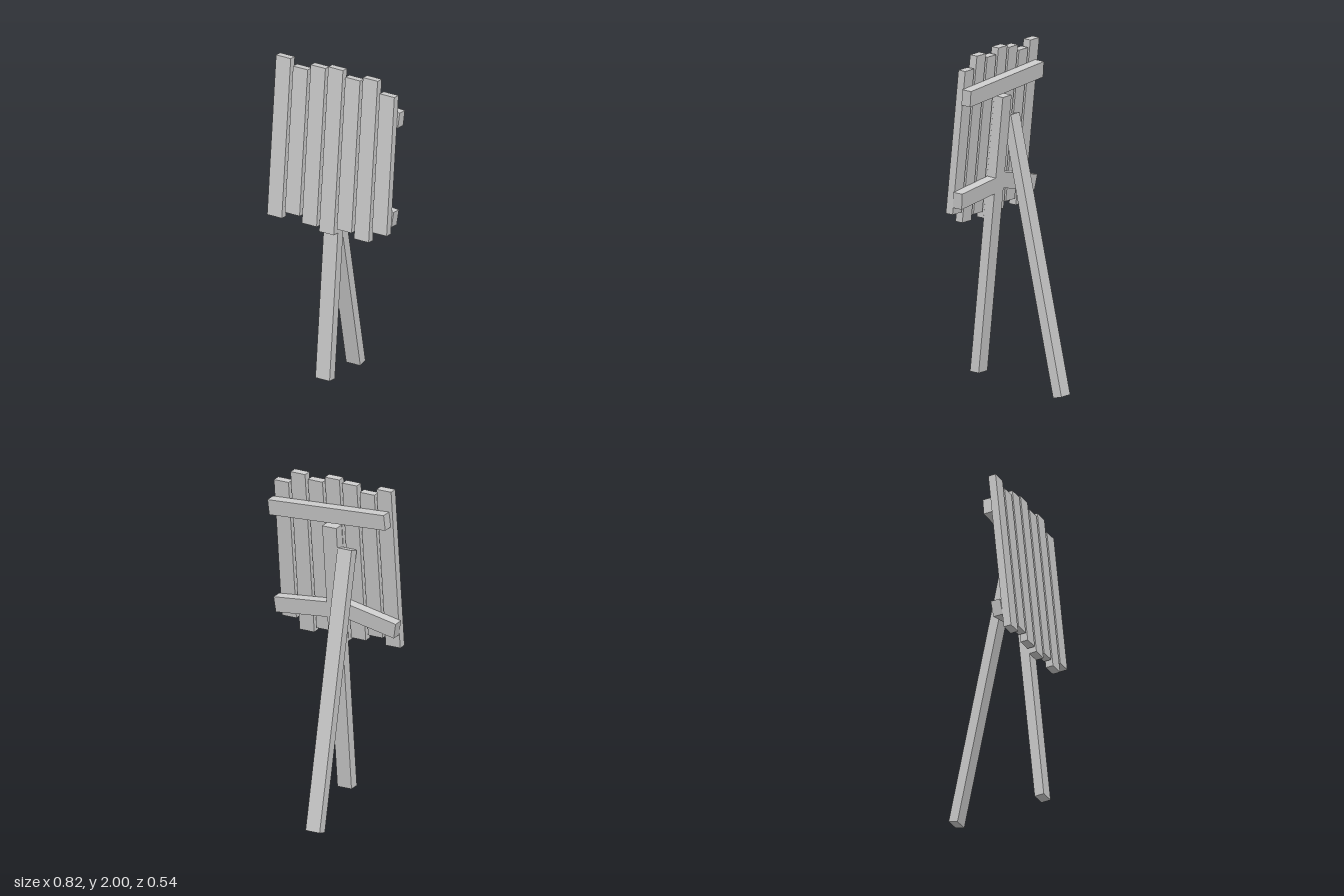
import * as THREE from 'three';

const material = new THREE.MeshStandardMaterial({ color: 0xcccccc, flatShading: true });

// A timber board centred on a point and rolled about z
function board(name, size, position, roll = 0) {
  const mesh = new THREE.Mesh(new THREE.BoxGeometry(...size), material);
  mesh.name = name;
  mesh.position.set(...position);
  mesh.rotation.z = roll;
  return mesh;
}

export function createModel() {
  const model = new THREE.Group();
  model.name = 'woodenSign';

  // Leaning panel: origin at the foot of the post, z = 0 where planks meet the frame
  const lean = 0.1, footY = 0.123, footZ = 0.272;
  const plankDepth = 0.045, frameDepth = 0.057;
  const along = (y) => (y - footY) / Math.cos(lean);
  const panel = new THREE.Group();
  panel.name = 'leaningPanel';
  panel.position.set(0, footY, footZ);
  panel.rotation.x = -lean;
  model.add(panel);

  // Uneven vertical planks: [bottom, top] heights
  const planks = [
    [1.03, 1.99], [1.07, 1.95], [1.033, 1.985], [1.01, 2.0],
    [1.05, 1.965], [1.02, 1.99], [1.085, 1.92],
  ];
  planks.forEach(([bottom, top], i) => {
    const low = along(bottom), high = along(top - 0.0045);
    panel.add(board('plank', [0.097, high - low, plankDepth],
      [(i - 3) * 0.115 - 0.001, (low + high) / 2, plankDepth / 2]));
  });

  // Front post
  const postTop = along(1.72);
  panel.add(board('frontPost', [0.094, postTop, frameDepth], [0, postTop / 2, -frameDepth / 2]));

  // Cross rails behind the planks: one above, two sloping halves below
  const rail = (name, length, x, y, roll) =>
    panel.add(board(name, [length, 0.092, frameDepth], [x, along(y + 0.003), -frameDepth / 2], roll));
  rail('upperRail', 0.78, 0.014, 1.788, -0.062);
  rail('lowerRailRight', 0.37, -0.22, 1.19, 0.2);
  rail('lowerRailLeft', 0.36, 0.22, 1.187, -0.1);

  // Rear strut beside the post
  const strut = board('rearStrut', [0.094, 1.622, 0.056], [-0.0975, 0.8, -0.0775]);
  strut.rotation.x = 0.208;
  model.add(strut);

  return model;
}
